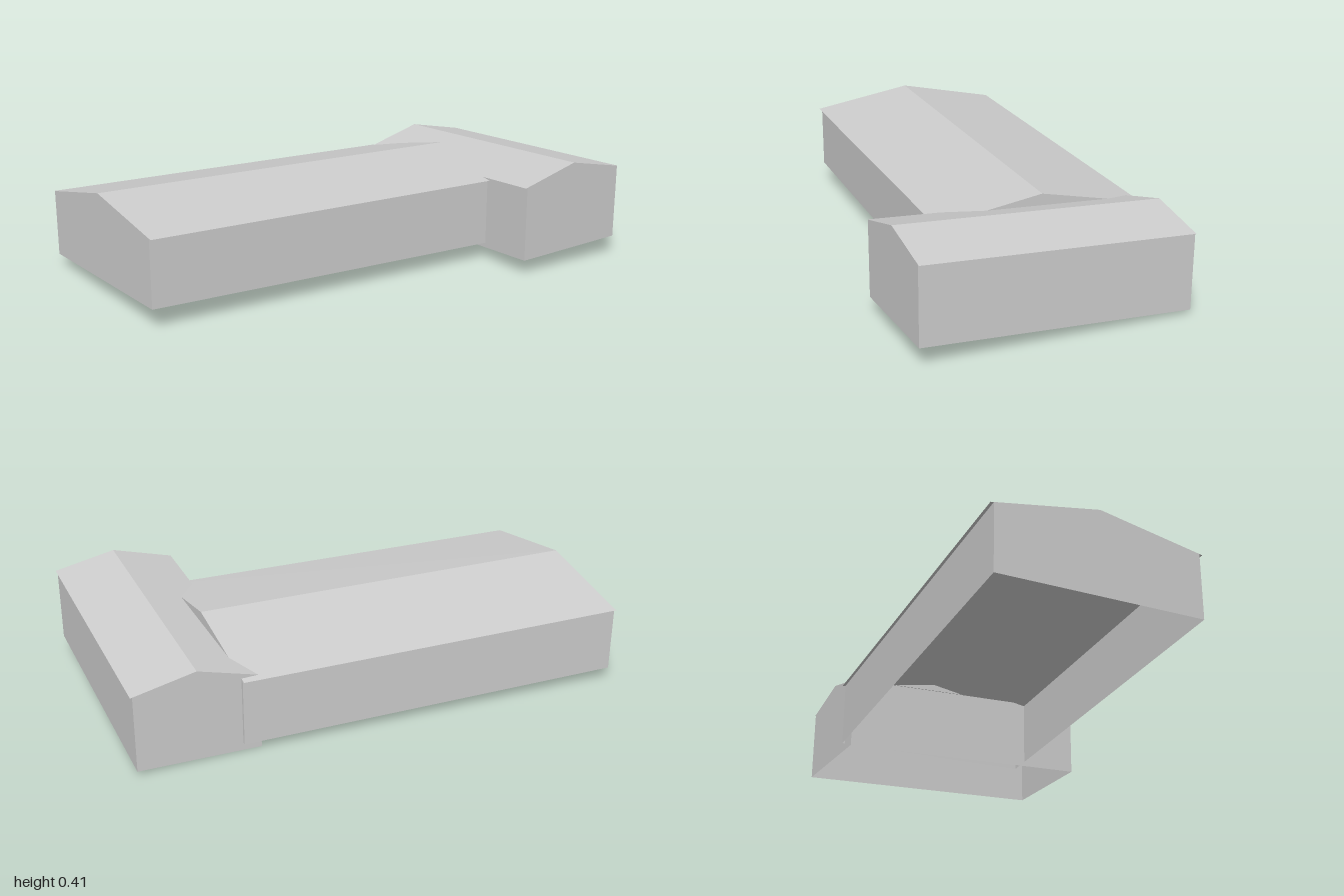
import * as THREE from 'three';

const V = (x, y, z) => new THREE.Vector3(x, y, z);

// flat-shaded mesh from convex polygons, counter-clockwise seen from outside
function polyMesh(name, polygons, material) {
  const points = [];
  for (const poly of polygons) {
    for (let i = 1; i < poly.length - 1; i++) points.push(poly[0], poly[i], poly[i + 1]);
  }
  const geometry = new THREE.BufferGeometry().setFromPoints(points);
  geometry.computeVertexNormals();
  const mesh = new THREE.Mesh(geometry, material);
  mesh.name = name;
  return mesh;
}

// cross-section: left foot, left eave, ridge, right eave, right foot
function section(left, right, ridgeY) {
  const [lx, lz, lFoot, lEave] = left;
  const [rx, rz, rFoot, rEave] = right;
  return [
    V(lx, lFoot, lz), V(lx, lEave, lz),
    V((lx + rx) / 2, ridgeY, (lz + rz) / 2),
    V(rx, rEave, rz), V(rx, rFoot, rz),
  ];
}

// pull the walls slightly in under the eaves
function insetWalls(s, t = 0.03) {
  return [
    s[0].clone().lerp(s[4], t / 2), s[1].clone().lerp(s[2], t), s[2],
    s[3].clone().lerp(s[2], t), s[4].clone().lerp(s[0], t / 2),
  ];
}

// hollow gabled block, open underneath
function gabledBlock(name, start, end, material) {
  const group = new THREE.Group();
  group.name = name;
  const a = insetWalls(start), b = insetWalls(end);
  const strip = (p, q, i) => [p[i], p[i + 1], q[i + 1], q[i]];
  group.add(
    polyMesh('sideWalls', [strip(a, b, 0), strip(a, b, 3)], material),
    polyMesh('gableWalls', [[...a].reverse(), b], material),
    polyMesh('roof', [strip(start, end, 1), strip(start, end, 2)], material),
  );
  return group;
}

export function createModel() {
  const model = new THREE.Group();
  model.name = 'building';
  const grey = new THREE.MeshStandardMaterial({ color: 0xcccccc });
  grey.name = 'plain grey';
  grey.side = THREE.DoubleSide;

  // long main hall; corners are x, z, foot height, eave height
  model.add(gabledBlock('mainHall',
    section([-0.86, -0.73, 0.045, 0.3], [-1.0, 0.09, 0.08, 0.335], 0.395),
    section([0.61, -0.38, 0.03, 0.285], [0.47, 0.44, 0.065, 0.325], 0.38), grey));

  // cross wing over the end of the hall
  model.add(gabledBlock('crossWing',
    section([0.335, 0.635, 0.06, 0.35], [0.805, 0.727, 0.075, 0.365], 0.415),
    section([0.53, -0.37, 0, 0.288], [1.0, -0.285, 0.015, 0.305], 0.355), grey));

  return model;
}
